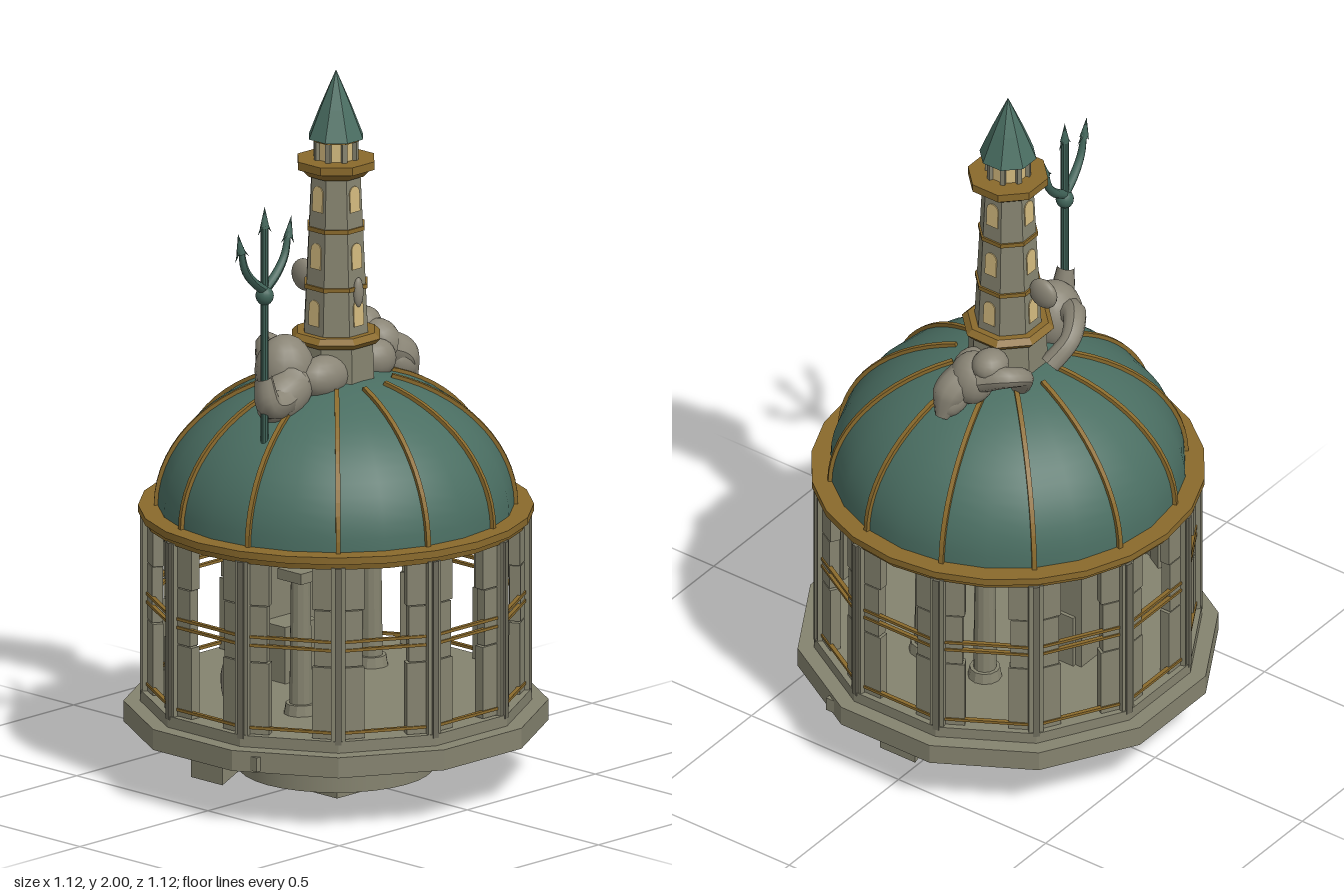
import * as THREE from 'three';

const mat = (name, color, extra = {}) => {
  const m = new THREE.MeshStandardMaterial({ color, ...extra });
  m.name = name;
  return m;
};

export function createModel() {
  const root = new THREE.Group();
  root.name = 'domedTemple';
  const stone = mat('stone', 0x85836f);
  const stoneFlat = stone;
  const statueStone = mat('statueStone', 0x8a8576);
  const darkStone = mat('darkStone', 0x6c6a5b);
  const gold = mat('agedGold', 0x8a6a2c);
  const teal = mat('verdigris', 0x4a6e62);
  teal.side = THREE.DoubleSide;
  const bronze = mat('tridentBronze', 0x416459);
  const glow = mat('windowGlow', 0xd2b97e);

  const add = (name, geo, m, x = 0, y = 0, z = 0, parent = root) => {
    const mesh = new THREE.Mesh(geo, m);
    mesh.name = name;
    mesh.position.set(x, y, z);
    parent.add(mesh);
    return mesh;
  };
  const box = (name, w, h, d, m, x, y, z, parent) =>
    add(name, new THREE.BoxGeometry(w, h, d), m, x, y, z, parent);
  // Prism with flat sides between heights y0 and y1
  const prism = (name, r0, r1, y0, y1, sides, m, start = 0, x = 0, z = 0, parent = root) => {
    let g = new THREE.CylinderGeometry(r1, r0, y1 - y0, sides, 1, false, start);
    if (sides < 20) { g = g.toNonIndexed(); g.computeVertexNormals(); }
    return add(name, g, m, x, (y0 + y1) / 2, z, parent);
  };
  // Tube whose radius follows a list of values along its path
  const taperTube = (name, pts, radii, m, sides = 8, steps = 14) => {
    const curve = new THREE.CatmullRomCurve3(pts.map(p => new THREE.Vector3(...p)));
    const g = new THREE.TubeGeometry(curve, steps, 1, sides);
    const pos = g.attributes.position, c = new THREE.Vector3(), v = new THREE.Vector3();
    for (let i = 0; i <= steps; i++) {
      curve.getPointAt(i / steps, c);
      const f = i / steps * (radii.length - 1), k = Math.min(Math.floor(f), radii.length - 2);
      const r = THREE.MathUtils.lerp(radii[k], radii[k + 1], f - k);
      for (let j = 0; j <= sides; j++) {
        const n = i * (sides + 1) + j;
        v.fromBufferAttribute(pos, n).sub(c).multiplyScalar(r).add(c);
        pos.setXYZ(n, v.x, v.y, v.z);
      }
    }
    g.computeVertexNormals();
    return add(name, g, m);
  };
  const blob = (name, x, y, z, sx, sy, sz, tilt = 0, m = statueStone) => {
    const b = add(name, new THREE.SphereGeometry(1, 16, 12), m, x, y, z);
    b.scale.set(sx, sy, sz);
    b.rotation.z = tilt;
    return b;
  };
  const D = Math.PI / 180, T12 = 15 * D, T8 = 22.5 * D;

  // Stepped foot and twelve-sided platform
  box('footBlock', 0.334, 0.03, 0.334, stone, 0, 0.015, 0);
  prism('lowerDrum', 0.267, 0.267, 0.025, 0.085, 32, stone);
  prism('middleDrum', 0.24, 0.24, 0.085, 0.12, 32, stone);
  prism('upperDrum', 0.21, 0.21, 0.12, 0.155, 32, stone);
  prism('platform', 0.58, 0.58, 0.155, 0.213, 12, stone, T12);
  prism('plinth', 0.535, 0.535, 0.213, 0.245, 12, stone, T12);

  // Wedge brackets under the platform
  for (const s of [-1, 1]) {
    const shape = new THREE.Shape([[0.34, 0.156], [0.505, 0.085], [0.505, 0.156]].map(p => new THREE.Vector2(...p)));
    const g = new THREE.ExtrudeGeometry(shape, { depth: 0.12, bevelEnabled: false });
    g.translate(0, 0, -0.06);
    const w = add('bracket', g, stone);
    if (s < 0) w.rotation.y = Math.PI;
    box('sideBlock', 0.06, 0.04, 0.06, stone, s * 0.505, 0.18, 0.19);
  }

  // Wall: twelve bays, each with coursed stone jambs, rails and a corner post
  for (let i = 0; i < 12; i++) {
    const bay = new THREE.Group();
    bay.name = 'wallBay';
    bay.rotation.y = i * 30 * D;
    root.add(bay);
    for (const s of [-1, 1]) {
      [[0.245, 0.45, 0.056], [0.45, 0.61, 0.05], [0.61, 0.735, 0.056]].forEach(([y0, y1, w]) =>
        box('jambBlock', w, y1 - y0 - 0.003, 0.03, stone, s * (0.116 - w / 2), (y0 + y1) / 2, 0.487, bay));
    }
    for (const y of [0.498, 0.522, 0.265])
      box('rail', 0.25, 0.008, 0.012, gold, 0, y, 0.5, bay);
    const post = new THREE.Group();
    post.name = 'cornerPost';
    post.rotation.y = (i * 30 + 15) * D;
    root.add(post);
    box('postShaft', 0.04, 0.5, 0.036, stone, 0, 0.485, 0.51, post);
    box('postEdge', 0.018, 0.5, 0.01, darkStone, 0, 0.485, 0.53, post);
  }

  // Interior columns, seat and fallen rocks
  for (const [x, z] of [[-0.24, -0.1], [0.24, -0.1], [-0.24, 0.1], [0.24, 0.1]]) {
    prism('columnBase', 0.048, 0.042, 0.24, 0.275, 12, stone, 0, x, z);
    prism('columnShaft', 0.032, 0.028, 0.275, 0.625, 12, stone, 0, x, z);
    box('columnCapital', 0.09, 0.03, 0.09, stone, x, 0.64, z);
  }
  box('seatBase', 0.13, 0.16, 0.14, stone, 0, 0.325, -0.2);
  box('seatBack', 0.11, 0.36, 0.07, stone, 0, 0.425, -0.255);
  box('seatCrest', 0.08, 0.05, 0.05, stone, 0, 0.63, -0.255);
  blob('innerRock', -0.25, 0.3, 0.25, 0.05, 0.1, 0.045, 0.4);
  blob('innerRockTall', -0.42, 0.33, 0.03, 0.03, 0.1, 0.05, 0.2);

  // Cornice rings
  prism('corniceLower', 0.525, 0.53, 0.73, 0.748, 24, gold);
  prism('corniceUpper', 0.54, 0.54, 0.748, 0.768, 24, gold);

  // Dome with twelve ribs
  const domeAt = (a, k = 0) => [(0.487 + k) * Math.cos(a), 0.765 + (0.382 + k) * Math.sin(a)];
  const profile = [];
  for (let i = 0; i <= 16; i++) profile.push(new THREE.Vector2(...domeAt(i / 16 * Math.PI / 2)));
  profile[16].x = 0;
  add('dome', new THREE.LatheGeometry(profile, 24), teal);
  const ribShape = new THREE.Shape();
  for (let i = 0; i <= 14; i++) ribShape[i ? 'lineTo' : 'moveTo'](...domeAt(i / 14 * 72 * D, 0.01));
  for (let i = 14; i >= 0; i--) ribShape.lineTo(...domeAt(i / 14 * 72 * D, -0.012));
  const ribGeo = new THREE.ExtrudeGeometry(ribShape, { depth: 0.013, bevelEnabled: false });
  ribGeo.translate(0, 0, -0.0065);
  for (let i = 0; i < 12; i++) add('domeRib', ribGeo, gold).rotation.y = (i * 30 + 15) * D;

  // Octagonal tower with gold bands
  const oct = (name, h0, h1, y0, y1, m) => prism(name, h0 / Math.cos(T8), h1 / Math.cos(T8), y0, y1, 8, m, T8);
  oct('towerFoot', 0.105, 0.1, 1.1, 1.24, stone);
  oct('towerShaft', 0.088, 0.066, 1.24, 1.725, stoneFlat);
  oct('towerBaseBand', 0.108, 0.12, 1.235, 1.25, gold);
  oct('towerBaseLip', 0.12, 0.105, 1.25, 1.265, gold);
  oct('towerBand', 0.086, 0.086, 1.39, 1.402, gold);
  oct('towerBand', 0.078, 0.078, 1.553, 1.565, gold);
  oct('galleryLower', 0.075, 0.095, 1.705, 1.727, gold);
  oct('galleryUpper', 0.104, 0.104, 1.727, 1.75, gold);

  // Arched tower windows
  const arch = new THREE.Shape();
  arch.moveTo(-0.019, -0.035);
  arch.lineTo(0.019, -0.035);
  arch.lineTo(0.019, 0.018);
  arch.absarc(0, 0.018, 0.019, 0, Math.PI);
  const archGeo = new THREE.ExtrudeGeometry(arch, { depth: 0.006, bevelEnabled: false });
  for (let i = 0; i < 4; i++) {
    const face = new THREE.Group();
    face.name = 'towerWindows';
    face.rotation.y = i * 90 * D;
    root.add(face);
    for (const y of [1.325, 1.485, 1.645]) {
      const w = add('towerWindow', archGeo, glow, 0, y, 0.088 - (y - 1.24) * 0.0454 - 0.003, face);
      w.rotation.x = -0.045;
    }
  }

  // Lantern and pointed roof
  oct('lanternGlow', 0.05, 0.05, 1.75, 1.815, glow);
  for (let i = 0; i < 8; i++) {
    const a = T8 + i * 45 * D;
    box('lanternPost', 0.014, 0.065, 0.014, stone, 0.056 * Math.sin(a), 1.782, 0.056 * Math.cos(a)).rotation.y = a;
  }
  oct('lanternRing', 0.062, 0.062, 1.803, 1.813, gold);
  let roof = new THREE.LatheGeometry([[0, 1.81], [0.08, 1.81], [0.046, 1.895], [0.02, 1.955], [0, 2]]
    .map(p => new THREE.Vector2(...p)), 8, T8).toNonIndexed();
  roof.computeVertexNormals();
  add('towerRoof', roof, teal);

  // Weathered statue on the right side, its arm reaching to the trident
  blob('figureBody', -0.18, 1.18, -0.02, 0.085, 0.1, 0.08);
  blob('figureHip', -0.23, 1.13, 0.03, 0.1, 0.065, 0.06, 0.45);
  blob('figureLap', -0.1, 1.16, 0.05, 0.09, 0.06, 0.055);
  taperTube('figureArm', [[-0.2, 1.16, 0.02], [-0.27, 1.12, 0.05], [-0.325, 1.13, 0.06], [-0.345, 1.21, 0.06]],
    [0.06, 0.045, 0.035, 0.024], statueStone, 10);
  taperTube('figureBackArm', [[-0.19, 1.2, -0.06], [-0.15, 1.23, -0.115], [-0.09, 1.2, -0.145], [-0.03, 1.14, -0.12]],
    [0.045, 0.032, 0.028, 0.03], statueStone, 10);

  // Weathered statue on the left side, curled round the tower
  blob('curledBody', 0.19, 1.18, -0.02, 0.06, 0.075, 0.065, 0.3);
  blob('curledHead', 0.175, 1.235, -0.07, 0.055, 0.045, 0.05);
  blob('curledFoot', 0.23, 1.13, 0.015, 0.065, 0.05, 0.045, -0.7);
  blob('curledLap', 0.13, 1.16, 0.03, 0.06, 0.055, 0.045);
  taperTube('curledArm', [[0.2, 1.2, -0.06], [0.18, 1.22, -0.13], [0.13, 1.2, -0.15], [0.09, 1.14, -0.11]],
    [0.04, 0.03, 0.025, 0.03], statueStone, 10);
  taperTube('curledTail', [[0.2, 1.17, 0], [0.24, 1.15, 0.015], [0.275, 1.08, 0.02]],
    [0.055, 0.045, 0.02], statueStone, 10);

  // Fragments clinging to the tower
  blob('backFragment', 0, 1.395, -0.12, 0.022, 0.045, 0.045);
  blob('frontFragment', 0, 1.385, 0.085, 0.016, 0.042, 0.012);

  // Trident
  const tx = -0.34, tz = 0.06;
  prism('tridentShaft', 0.011, 0.011, 0.48, 1.64, 10, bronze, 0, tx, tz);
  blob('tridentCollar', tx, 1.44, tz, 0.025, 0.027, 0.025, 0, bronze);
  const tip = (x, y, z, lean) => {
    const g = new THREE.Group();
    g.name = 'tridentTip';
    g.position.set(x, y, z);
    g.rotation.z = lean;
    root.add(g);
    add('point', new THREE.ConeGeometry(0.013, 0.06, 8), bronze, 0, 0.022, 0, g);
    for (const s of [-1, 1]) {
      const barb = add('barb', new THREE.ConeGeometry(0.006, 0.045, 6), bronze, s * 0.014, -0.008, 0, g);
      barb.rotation.z = s * 2.5 * -1;
    }
  };
  tip(tx, 1.64, tz, 0);
  for (const s of [-1, 1]) {
    taperTube('tridentProng', [[tx, 1.455, tz], [tx + s * 0.05, 1.49, tz - s * 0.005],
      [tx + s * 0.088, 1.535, tz - s * 0.01], [tx + s * 0.105, 1.6, tz - s * 0.012]],
      [0.014, 0.013, 0.011, 0.008], bronze);
    tip(tx + s * 0.106, 1.59, tz - s * 0.012, -s * 0.2);
  }
  return root;
}
